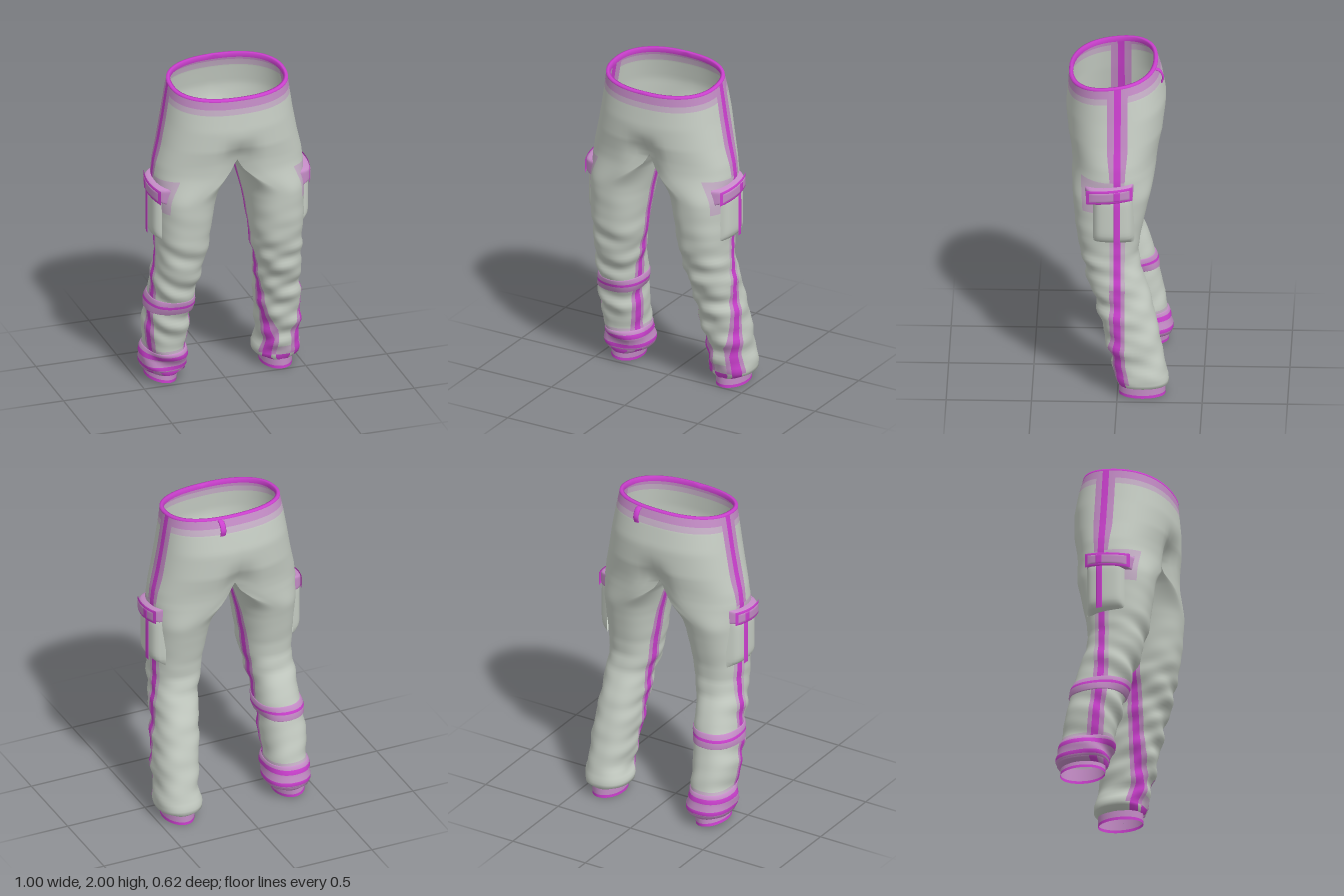
import * as THREE from 'three';
import { mergeVertices } from 'three/addons/utils/BufferGeometryUtils.js';

const mat = (name, color) => {
  const m = new THREE.MeshStandardMaterial({ color, side: THREE.DoubleSide });
  m.name = name;
  return m;
};

// Leg section by height: y, outer x, inner x, front z, back z
const PROFILE = [
  [1.97, 0.358, 0, 0.292, -0.222], [1.88, 0.372, 0, 0.3, -0.25], [1.75, 0.392, 0, 0.31, -0.275],
  [1.6, 0.42, 0, 0.305, -0.268], [1.48, 0.448, 0, 0.288, -0.245], [1.4, 0.458, 0.05, 0.276, -0.228],
  [1.2, 0.453, 0.1, 0.26, -0.175], [1.0, 0.448, 0.132, 0.24, -0.132], [0.9, 0.44, 0.142, 0.215, -0.122],
  [0.8, 0.45, 0.168, 0.195, -0.135], [0.7, 0.452, 0.185, 0.165, -0.17], [0.6, 0.458, 0.195, 0.13, -0.2],
  [0.4, 0.48, 0.215, 0.08, -0.243], [0.2, 0.487, 0.24, 0.03, -0.28], [0.12, 0.495, 0.222, 0.01, -0.3],
  [0.08, 0.492, 0.225, 0.0, -0.3], [0.06, 0.45, 0.27, -0.01, -0.28], [0, 0.45, 0.27, -0.01, -0.28],
];
const CROTCH = 1.48, POWER = 0.86;
const { smoothstep, clamp, lerp } = THREE.MathUtils;

function section(s, y) {
  let i = 0;
  while (i < PROFILE.length - 2 && PROFILE[i + 1][0] > y) i++;
  const a = PROFILE[i], b = PROFILE[i + 1];
  const t = clamp((a[0] - y) / (a[0] - b[0]), 0, 1);
  let [, xo, xi, zf, zb] = a.map((v, k) => lerp(v, b[k], t));
  if (s < 0) {
    const d = 1 - smoothstep(y, 0.22, 0.45);
    xo -= 0.022 * d; xi -= 0.016 * d;
  }
  const xc = Math.max(xi, (xo + xi) / 2 * (1 - smoothstep(y, 1.25, CROTCH)));
  return { xo, xi, xc, cz: (zf + zb) / 2, rz: (zf - zb) / 2, zf };
}

// Point on the trouser surface, pushed out by off
function surface(s, y, th, off = 0) {
  const { xo, xi, xc, cz, rz } = section(s, y);
  const c = Math.cos(th), n = Math.sin(th);
  const pc = Math.pow(Math.abs(c), POWER), pn = Math.sign(n) * Math.pow(Math.abs(n), POWER);
  // slanting cloth folds, strongest around knee and shin, weak at the back
  const amp = 0.006 * (1 - smoothstep(y, 0.8, 1.05)) * smoothstep(y, 0.07, 0.14) + 0.002 * (1 - smoothstep(y, 1.0, 1.3));
  const front = 0.6 + 0.4 * n;
  const fold = amp * front * (Math.sin(y * 33 + 3 * Math.sin(th + s) + s) + 0.6 * Math.sin(y * 57 - 4 * Math.cos(th - s)));
  const r = off + fold;
  const x = xc + (c > 0 ? (xo - xc) * pc : -(xc - xi) * pc) + (Math.abs(c) < 1e-6 ? 0 : c * r);
  // fly and seat draw in towards the crotch
  const pinch = 0.26 * Math.exp(-((x / 0.085) ** 2)) * (1 - smoothstep(y, 1.45, 1.72));
  const z = cz + rz * pn * (1 - pinch) + n * r;
  const saddle = 0.03 * n * n * Math.exp(-(((y - CROTCH) / 0.12) ** 2));
  const tilt = -(z - 0.03) * 0.13 * smoothstep(y, 1.5, 1.95);
  return [s * x, y + saddle + tilt, z];
}

// Column angles that keep the seam stripes on clean edges; outer half, then inner half
const STEPS = [14, 2, 2, 2, 14];
function columns(s, y) {
  const { cz, rz, zf } = section(s, y);
  let seam = Math.min(0, zf - 0.035);
  if (s < 0) seam = lerp(cz * 0.35, seam, smoothstep(y, 0.2, 0.8));
  const halo = 0.045 + 0.015 * smoothstep(y, 1.4, 1.6);
  const a = [halo, 0.02, -0.02, -halo].map((d) => {
    const t = clamp((seam + d - cz) / rz, -0.97, 0.97);
    return Math.asin(Math.sign(t) * Math.pow(Math.abs(t), 1 / POWER));
  });
  const outer = [Math.PI / 2, ...a, -Math.PI / 2];
  const inner = outer.map((v) => -Math.PI - v).reverse();
  const out = [];
  for (const knots of [outer, inner])
    STEPS.forEach((n, seg) => {
      for (let i = 0; i < n; i++)
        out.push({ th: lerp(knots[seg], knots[seg + 1], i / n), seg, inner: knots === inner });
    });
  out.push({ th: inner[5], seg: 4, inner: true });
  return out;
}

// Skin rows of [height, offset] on the given sides; paint(y, column, row, side) picks a material index
function loft(name, rows, sides, paint, materials) {
  const pos = [], buckets = materials.map(() => []);
  for (const s of sides) {
    const base = pos.length / 3;
    const grid = rows.map(([y]) => columns(s, y));
    rows.forEach(([y, off], r) => grid[r].forEach((c) => pos.push(...surface(s, y, c.th, off))));
    const w = grid[0].length;
    for (let r = 0; r < rows.length - 1; r++)
      for (let c = 0; c < w - 1; c++) {
        const col = grid[r][c];
        if (col.inner && rows[r][0] > CROTCH + 0.001) continue;
        const a = base + r * w + c, b = a + w, d = a + 1, e = b + 1;
        const list = buckets[paint((rows[r][0] + rows[r + 1][0]) / 2, col, r, s)];
        if (s > 0) list.push(a, b, d, d, b, e);
        else list.push(a, d, b, d, e, b);
      }
  }
  let g = new THREE.BufferGeometry();
  g.setAttribute('position', new THREE.Float32BufferAttribute(pos, 3));
  g.setIndex(buckets.flat());
  let start = 0;
  buckets.forEach((b, i) => { if (b.length) g.addGroup(start, b.length, i); start += b.length; });
  g = mergeVertices(g, 1e-5);
  g.computeVertexNormals();
  const mesh = new THREE.Mesh(g, materials);
  mesh.name = name;
  return mesh;
}

// Puffed pad lying on the outside of the thigh
function pad(name, w, h, x, y, z, puff, material, turn = 0) {
  const g = new THREE.PlaneGeometry(w, h, 20, 16);
  const p = g.attributes.position;
  for (let i = 0; i < p.count; i++) {
    const u = p.getX(i), v = p.getY(i);
    const rise = (1 - Math.abs(2 * u / w) ** 8) * (1 - Math.abs(2 * v / h) ** 8);
    const pz = z - u;
    p.setXYZ(i, x + puff * rise - 1.4 * (pz - 0.03) ** 2, y + v - turn * (pz - z), pz);
  }
  g.computeVertexNormals();
  const m = new THREE.Mesh(g, material);
  m.name = name;
  return m;
}

export function createModel() {
  const cloth = mat('grey cloth', 0xc6cdc4), pale = mat('pale lilac', 0xc6b0c7);
  const lilac = mat('lilac', 0xc48cc6), magenta = mat('magenta trim', 0xcc40cf);
  const all = [cloth, pale, lilac, magenta];
  const model = new THREE.Group();
  model.name = 'trousers';

  // Body and legs with side and inside seams
  const rows = [[1.966, 0], [1.957, 0], [1.908, 0], [1.87, 0]];
  for (let i = 0; i <= 89; i++) rows.push([1.86 - 0.02 * i, 0]);
  rows.push([0.06, 0]);
  model.add(loft('trouserBody', rows, [1, -1], (y, c, r, s) => {
    const shin = c.seg === (c.inner ? 4 : 0);
    if (y > 1.957 || c.seg === 2) return 3;
    if (y > 1.908) return 2;
    // hem is trimmed across the front only
    if (y < 0.1) return shin ? 3 : s < 0 ? 2 : 0;
    if (c.seg === 1 || c.seg === 3) return c.inner || y > 1.4 || y < 0.7 ? 2 : 1;
    if (y > 1.87) return 1;
    // soft tint above the hem, around the right ankle and the pocket flap
    if (y < 0.16 && shin || s < 0 && y < 0.24) return 1;
    return !c.inner && shin && c.th < 0.9 && y > 1.2 && y < 1.4 ? 1 : 0;
  }, all));

  // Waist lip
  model.add(loft('waistLip', [[1.957, 0.001], [1.968, 0.002], [1.97, -0.01], [1.968, -0.022], [1.94, -0.024]],
    [1, -1], () => 3, all));

  // Straps on the right shin: rows of [height, offset] with a colour for each strip
  const strap = (name, strips, paint) => model.add(loft(name, strips, [-1], (y, c, r) => paint[r], all));
  strap('shinStrap', [[0.592, 0], [0.588, 0.006], [0.562, 0.009], [0.545, 0.009], [0.508, 0.007], [0.503, 0]],
    [2, 2, 3, 2, 2]);
  strap('ankleStrap', [[0.222, 0], [0.217, 0.006], [0.2, 0.009], [0.172, 0.009], [0.155, 0.003], [0.125, 0.007],
    [0.102, 0.007], [0.09, 0]], [2, 2, 3, 2, 2, 3, 2]);

  for (const s of [1, -1]) {
    // Ankle cuffs
    const cuff = new THREE.Group();
    cuff.name = s > 0 ? 'leftCuff' : 'rightCuff';
    for (const [y, h, m, part] of [[0.06, 0.08, lilac, 'cuffBand'], [0.011, 0.018, magenta, 'cuffHem']]) {
      const band = new THREE.Mesh(new THREE.CylinderGeometry(1, 1, h, 40, 1, true), m);
      band.scale.set(0.092, 1, 0.136);
      band.position.y = y;
      band.name = part;
      cuff.add(band);
    }
    cuff.position.set(s > 0 ? 0.36 : -0.355, s > 0 ? 0 : 0.012, -0.145);
    cuff.rotation.z = s > 0 ? 0 : -0.12;
    model.add(cuff);

    // Cargo pockets with flaps
    const pocket = new THREE.Group();
    pocket.name = s > 0 ? 'leftCargoPocket' : 'rightCargoPocket';
    pocket.add(
      pad('pocketBag', 0.25, 0.34, 0.435, 1.175, 0.025, 0.052, cloth),
      pad('pocketSeam', 0.038, 0.27, 0.488, 1.155, 0, 0.003, magenta),
      pad('flapSides', 0.29, 0.1, 0.438, 1.325, 0.045, 0.056, lilac, 0.12),
      pad('flapBorder', 0.274, 0.086, 0.492, 1.325, 0.045, 0.004, magenta, 0.12),
      pad('flapPanel', 0.238, 0.056, 0.496, 1.325, 0.045, 0.003, lilac, 0.12),
      pad('flapSeam', 0.038, 0.056, 0.499, 1.33, 0, 0.002, magenta),
    );
    pocket.scale.x = s;
    model.add(pocket);
  }

  // Belt loop at the back
  const path = new THREE.CatmullRomCurve3([[1.985, -0.215], [1.975, -0.24], [1.935, -0.26], [1.9, -0.252]]
    .map(([y, z]) => new THREE.Vector3(0, y, z)));
  const loop = new THREE.Mesh(new THREE.TubeGeometry(path, 16, 0.006, 8), magenta);
  loop.scale.x = 3;
  loop.position.x = 0.113;
  loop.name = 'beltLoop';
  model.add(loop);
  return model;
}
